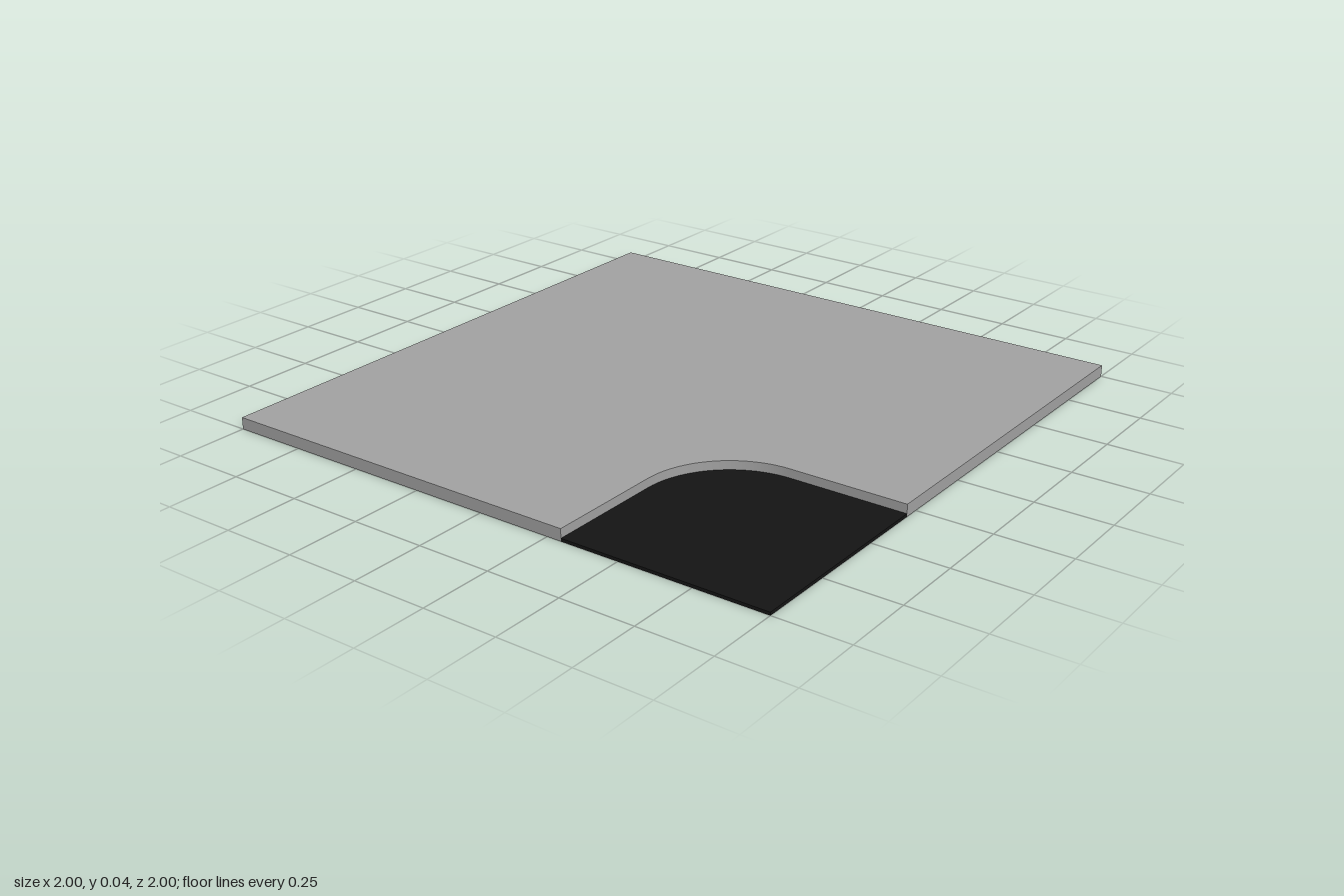
import * as THREE from 'three';
import { toCreasedNormals } from 'three/addons/utils/BufferGeometryUtils.js';

const HALF = 1;
const INNER = 0.3; // distance of the straight corner edges from the centre
const RADIUS = 0.3; // rounding of the inner corner
const ARC = INNER + RADIUS;

// Flat plate standing on y = 0; shape y points to the back (-z)
function plate(name, shape, height, color) {
  const extruded = new THREE.ExtrudeGeometry(shape, { depth: height, bevelEnabled: false, curveSegments: 24 });
  extruded.rotateX(-Math.PI / 2);
  const mesh = new THREE.Mesh(toCreasedNormals(extruded, 0.5), new THREE.MeshStandardMaterial({ color }));
  mesh.name = name;
  return mesh;
}

export function createModel() {
  const group = new THREE.Group();
  group.name = 'pavementCornerTile';

  // Raised pavement with a rounded cut-out at the front right corner
  const pavement = new THREE.Shape();
  pavement.moveTo(-INNER, -HALF);
  pavement.lineTo(HALF, -HALF);
  pavement.lineTo(HALF, HALF);
  pavement.lineTo(-HALF, HALF);
  pavement.lineTo(-HALF, -INNER);
  pavement.lineTo(-ARC, -INNER);
  pavement.absarc(-ARC, -ARC, RADIUS, Math.PI / 2, 0, true);
  pavement.closePath();
  group.add(plate('pavement', pavement, 0.04, 0xa0a0a0));

  // Thin dark road surface filling the cut-out
  const road = new THREE.Shape();
  road.moveTo(-HALF, -HALF);
  road.lineTo(-INNER, -HALF);
  road.lineTo(-INNER, -ARC);
  road.absarc(-ARC, -ARC, RADIUS, 0, Math.PI / 2, false);
  road.lineTo(-HALF, -INNER);
  road.closePath();
  group.add(plate('road', road, 0.01, 0x141414));

  return group;
}
